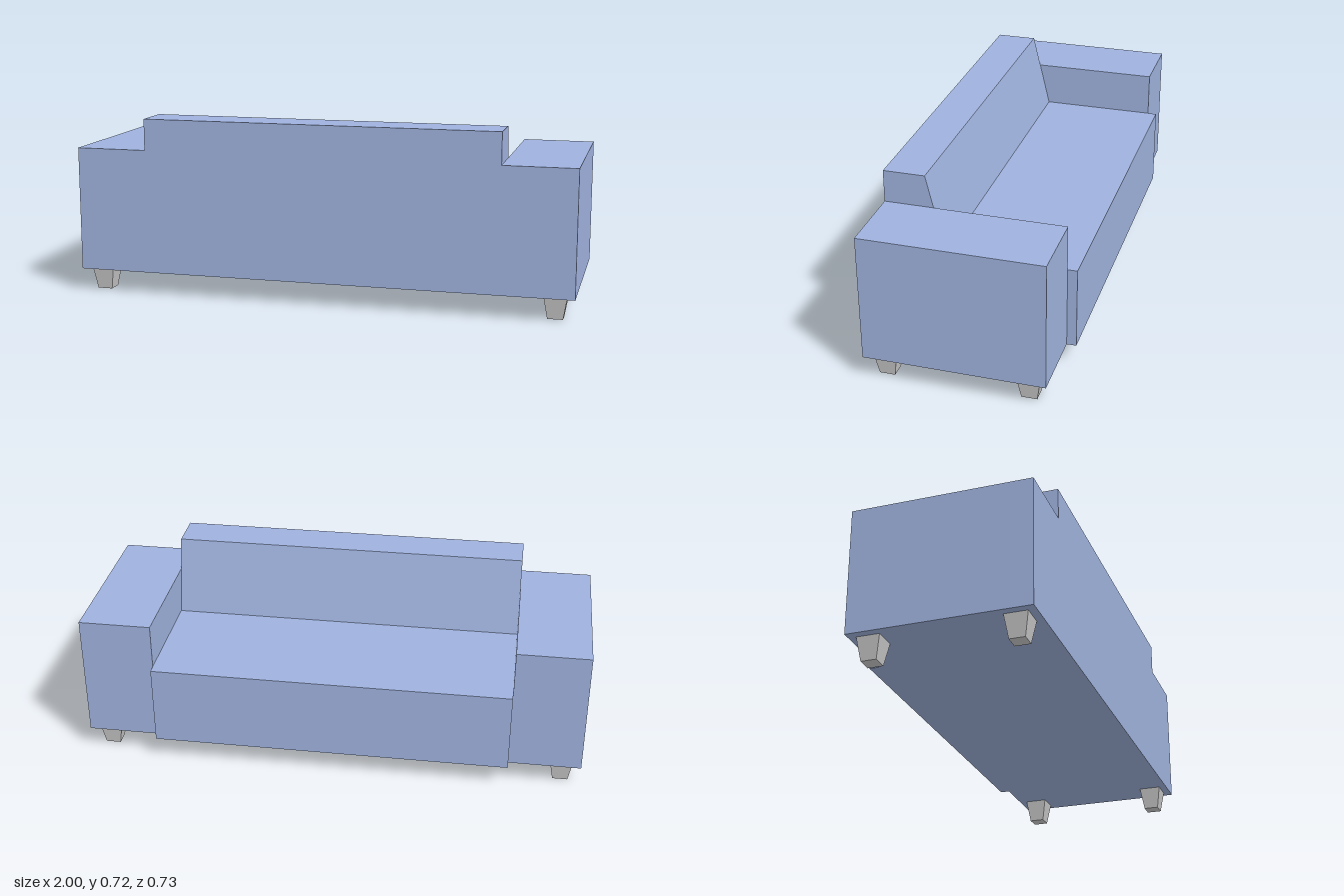
import * as THREE from 'three';

export function createModel() {
  const sofa = new THREE.Group();
  sofa.name = 'sofa';
  const fabric = new THREE.MeshStandardMaterial({ color: 0x9fb2dd, flatShading: true });
  const grey = new THREE.MeshStandardMaterial({ color: 0xcccccc, flatShading: true });

  const base = 0.09;      // underside of the upholstery
  const inner = 0.713;    // half width between the arms
  const back = 0.367;     // plane of the back

  const add = (name, geometry, material, x = 0, y = 0, z = 0) => {
    const mesh = new THREE.Mesh(geometry, material);
    mesh.name = name;
    mesh.position.set(x, y, z);
    sofa.add(mesh);
  };

  // Seat and sloping backrest: one side profile (z, y) swept across the width
  const profile = new THREE.Shape([
    [-0.367, base], [back, base], [back, 0.716], [0.206, 0.716], [0.134, 0.412], [-0.367, 0.412],
  ].map(([z, y]) => new THREE.Vector2(z, y)));
  const seat = new THREE.ExtrudeGeometry(profile, { depth: 2 * inner, bevelEnabled: false });
  seat.rotateY(-Math.PI / 2).translate(inner, 0, 0);
  add('seatAndBackrest', seat, fabric);

  // Block arms
  const armWidth = 1 - inner, armHeight = 0.59 - base, armDepth = back + 0.33;
  for (const [side, name] of [[1, 'leftArm'], [-1, 'rightArm']]) {
    add(name, new THREE.BoxGeometry(armWidth, armHeight, armDepth), fabric,
      side * (1 + inner) / 2, base + armHeight / 2, back - armDepth / 2);
  }

  // Tapered square legs
  const leg = new THREE.CylinderGeometry(0.045 * Math.SQRT2, 0.03 * Math.SQRT2, base, 4);
  leg.rotateY(Math.PI / 4);
  for (const x of [-0.923, 0.923]) {
    for (const z of [-0.255, 0.292]) add('leg', leg, grey, x, base / 2, z);
  }

  return sofa;
}
